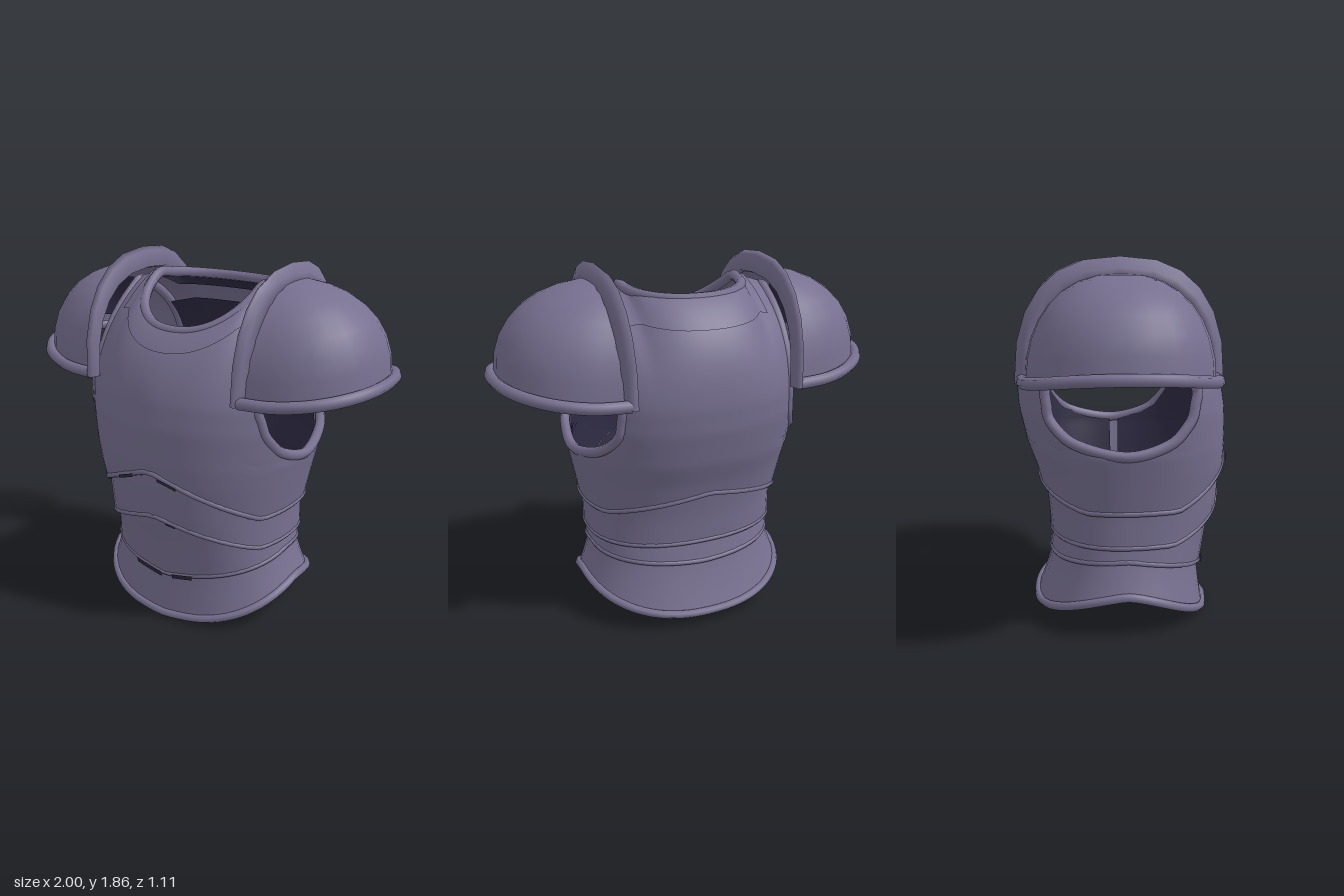
import * as THREE from 'three';

const V = (x, y, z) => new THREE.Vector3(x, y, z);
const { lerp, clamp, degToRad } = THREE.MathUtils;
const pow = (v, p) => Math.sign(v) * Math.abs(v) ** p;

// torso size by height: y, half width, front depth, back depth
const BODY = [
  [0.22, 0.48, 0.40, 0.37], [0.45, 0.495, 0.455, 0.36], [0.6, 0.515, 0.495, 0.385],
  [0.8, 0.555, 0.53, 0.44], [0.92, 0.58, 0.535, 0.485], [1.1, 0.6, 0.53, 0.525], [1.25, 0.6, 0.505, 0.535],
];
// armhole: y, front edge z, back edge z
const HOLE = [[0.925, 0, 0], [0.94, 0.12, 0.14], [1.0, 0.24, 0.31], [1.1, 0.31, 0.38], [1.25, 0.34, 0.40]];
const POWER = 2.3;

function table(rows, y) {
  let i = 0;
  while (i < rows.length - 2 && y > rows[i + 1][0]) i++;
  const a = rows[i], b = rows[i + 1], t = clamp((y - a[0]) / (b[0] - a[0]), 0, 1);
  return a.map((v, k) => lerp(v, b[k], t));
}

// point on the rounded cross-section; angle 0 = left side, 90 degrees = front
function section(angle, y, w, f, b) {
  const c = Math.cos(angle), s = Math.sin(angle), p = 2 / POWER;
  const ridge = s > 0 ? 0.008 * Math.max(0, 1 - Math.abs(c) / 0.15) : 0;
  return V(w * pow(c, p), y, (s > 0 ? f : b) * pow(s, p) + ridge);
}

function bodyPoint(angle, y, off = 0) {
  const [, w, f, b] = table(BODY, y);
  return section(angle, y, w + off, f + off, b + off);
}

// surface through a grid of points
function loft(rows, closed = false) {
  const n = rows[0].length, index = [];
  for (let r = 0; r < rows.length - 1; r++) {
    for (let c = 0; c < (closed ? n : n - 1); c++) {
      const a = r * n + c, b = r * n + (c + 1) % n;
      index.push(a, a + n, b, b, a + n, b + n);
    }
  }
  const g = new THREE.BufferGeometry().setFromPoints(rows.flat());
  g.setIndex(index);
  g.computeVertexNormals();
  return g;
}

const tube = (points, r, closed) => new THREE.TubeGeometry(
  new THREE.CatmullRomCurve3(points, closed, 'centripetal'), 72, r, 7, closed);

// plate edges: raised to a point at the centre of front and back
const edge = (side, front, back, reach) => (angle) => {
  const d = Math.acos(clamp(Math.abs(Math.sin(angle)), 0, 1)) * 180 / Math.PI;
  return side + ((Math.sin(angle) > 0 ? front : back) - side) * Math.max(0, 1 - d / reach);
};
const chestEdge = edge(0.63, 0.87, 0.74, 62);
const waistEdge = edge(0.45, 0.62, 0.45, 62);
const bellyEdge = edge(0.375, 0.25, 0.33, 90);
const hemEdge = (a) => 0.21 - (Math.sin(a) > 0 ? 0.187 : 0.14) * Math.abs(Math.sin(a)) ** 1.3;

// neckline (u up to 0.6) continuing into the shoulder line (u up to 1)
function topPoint(u, side) {
  const v = Math.abs(u), e = Math.min(v / 0.6, 1) * Math.PI / 2, k = Math.max(0, (v - 0.6) / 0.4);
  const x = 0.315 * Math.sin(e) ** 0.9 + 0.15 * k;
  const y = lerp(side > 0 ? 1.535 : 1.705, 1.74, 1 - Math.cos(e)) - 0.05 * k;
  return V(Math.sign(u) * x, y, side * (side > 0 ? 0.322 : 0.295) * Math.cos(e) ** 0.85 - 0.03 * k);
}

// breast or back panel: t 0..1 rises to the chest, 1..2 curves over to the neck
function panelPoint(u, t, side, off = 0) {
  const v = Math.abs(u);
  const chest = (q) => {
    const y = lerp(chestEdge(side * lerp(Math.PI / 2, 0.0001, v)), 1.22, q);
    const [, , f, b] = table(BODY, y);
    const [, hf, hb] = table(HOLE, y);
    const start = Math.asin((side > 0 ? hf / f : hb / b) ** (POWER / 2));
    const angle = lerp(Math.PI / 2, start, v);
    return bodyPoint(side * (u < 0 ? Math.PI - angle : angle), y, off);
  };
  if (t <= 1) return chest(t);
  const a = chest(1), c = topPoint(u, side), s = t - 1;
  c.y += off;
  const b = V(lerp(a.x, c.x, 0.05), lerp(a.y, c.y, side > 0 ? 0.64 : 0.7), lerp(a.z, c.z, side > 0 ? 0.25 : 0.06));
  return a.multiplyScalar((1 - s) ** 2).addScaledVector(b, 2 * s * (1 - s)).addScaledVector(c, s * s);
}

function panel(side, u1, t0, t1, off, nu = 32, nt = 40) {
  const rows = [];
  for (let j = 0; j <= nt; j++) {
    const row = [];
    for (let i = 0; i <= nu; i++) {
      row.push(panelPoint(side * lerp(-u1, u1, i / nu), lerp(t0, t1, j / nt), side, off));
    }
    rows.push(row);
  }
  return loft(rows);
}

export function createModel() {
  const model = new THREE.Group();
  const steel = new THREE.MeshStandardMaterial({ color: 0x777090, side: THREE.DoubleSide });
  steel.name = 'purple grey steel';
  const dark = new THREE.MeshStandardMaterial({ color: 0x2d2a42, side: THREE.DoubleSide });
  dark.name = 'dark lining';
  const add = (name, geometry, material = steel, parent = model) => {
    const mesh = new THREE.Mesh(geometry, material);
    mesh.name = name;
    parent.add(mesh);
  };
  const N = 40;
  const ring = (fn) => Array.from({ length: N }, (_, i) => fn(i / N * Math.PI * 2));

  // breastplate, backplate, raised collar and inner lining
  for (const side of [1, -1]) {
    const label = side > 0 ? 'front' : 'back';
    add(label + 'ChestPlate', panel(side, 1, 0, 2, 0.012));
    add(label + 'Collar', panel(side, 0.75, 1.62, 2, 0.022, 24, 6));
    add(label + 'Lining', panel(side, 0.98, 0, 1.58, -0.025), dark);
  }
  add('collarLining', panel(-1, 0.6, 1.8, 2, -0.02, 16, 4), dark);
  add('chestEdge', tube(ring((a) => bodyPoint(a, chestEdge(a), 0.004)), 0.016, true));

  // overlapping waist plates with rolled lower edges
  const plate = (name, bottom, top, flare) => {
    const rows = [];
    for (let j = 0; j <= 6; j++) {
      const t = j / 6;
      rows.push(ring((a) => bodyPoint(-a, lerp(bottom(-a), top(-a) + 0.05, t), lerp(flare, -0.012, t))));
    }
    add(name, loft(rows.reverse(), true));
    add(name + 'Edge', tube(ring((a) => bodyPoint(a, bottom(a), flare - 0.008)), 0.014, true));
  };
  plate('upperWaistPlate', waistEdge, chestEdge, 0.018);
  plate('lowerWaistPlate', bellyEdge, waistEdge, 0.014);
  const liningRows = [0, 0.5, 1].map((t) => ring((a) =>
    bodyPoint(a, lerp(bellyEdge(a) + 0.06, chestEdge(a), t), -0.028)));
  add('waistLining', loft(liningRows, true), dark);

  // slivers of lining showing under the front plate edges: edge, start and end degrees, height
  for (const [line, from, to, height] of [
    [chestEdge, 97, 107, 0.018], [chestEdge, 77, 86, 0.016], [waistEdge, 79, 84, 0.014],
    [bellyEdge, 91, 109, 0.03], [bellyEdge, 74, 86, 0.026]]) {
    const rows = [0.5, -0.5].map((h) => [0, 0.25, 0.5, 0.75, 1].map((t) => {
      const a = degToRad(lerp(to, from, t));
      return bodyPoint(a, line(a) - 0.008 + h * height, 0.026);
    }));
    add('liningSliver', loft(rows), dark);
  }

  // flared skirt with a thick hem
  const skirtPoint = (a, t) => {
    const k = t ** 1.3;
    return section(a, lerp(bellyEdge(a) + 0.05, hemEdge(a), t),
      lerp(0.485, 0.55, k), lerp(0.405, 0.44, k), lerp(0.355, 0.45, k));
  };
  const skirtRows = [0, 0.2, 0.4, 0.6, 0.8, 1].map((t) => ring((a) => skirtPoint(-a, t)));
  add('skirt', loft(skirtRows, true));
  add('skirtHem', tube(ring((a) => skirtPoint(a, 1)), 0.022, true));

  // neck rim
  const neck = [];
  for (let i = -6; i < 6; i++) neck.push(topPoint(i / 10, 1));
  for (let i = 6; i > -6; i--) neck.push(topPoint(i / 10, -1));
  add('neckRim', tube(neck, 0.027, true));

  for (const s of [1, -1]) {
    const label = s > 0 ? 'left' : 'right';
    // armhole rim
    const hole = [];
    for (let i = 0; i <= 15; i++) hole.push(panelPoint(s, lerp(0.5, 2, i / 15), 1));
    for (let i = 14; i > 0; i--) hole.push(panelPoint(s, lerp(0.5, 2, i / 15), -1));
    add(label + 'ArmholeRim', tube(hole, 0.027, true));

    // shoulder guard: quarter dome, lower rim and raised inner flange
    const guard = new THREE.Group();
    guard.name = label + 'ShoulderGuard';
    model.add(guard);
    const dome = (a, e, grow = 0) => {
      const out = pow(Math.cos(a), 0.9) * Math.cos(e);
      return V(s * (0.44 + (0.515 + grow) * out),
        1.28 + 0.06 * out * out + 0.5 * Math.sin(e) ** 0.95,
        -0.035 + (0.455 + grow) * pow(Math.sin(a), 0.9) * Math.cos(e) ** 0.85);
    };
    const domePatch = (spread, e0, e1, grow) => {
      const rows = [];
      for (let j = 0; j <= 8; j++) {
        const row = [];
        for (let i = 0; i <= 14; i++) row.push(dome(s * (0.5 - i / 14) * spread, lerp(e1, e0, j / 8), grow));
        rows.push(row);
      }
      return loft(rows);
    };
    add('dome', domePatch(3.1414, 0, 1.5707, 0), steel, guard);
    add('domeLining', domePatch(1.9, 0.12, 0.7, -0.02), dark, guard);
    const rim = [];
    for (let i = 0; i <= 12; i++) rim.push(dome((i / 12 - 0.5) * 3.1414, 0, 0.014));
    add('lowerRim', tube(rim, 0.03, false), steel, guard);

    // flange cross-section: x, height radius, depth radius
    const profile = [[0.49, 0.48, 0.44], [0.465, 0.52, 0.475], [0.45, 0.575, 0.505],
      [0.425, 0.555, 0.495], [0.41, 0.47, 0.45], [0.44, 0.46, 0.43]];
    const flange = [];
    for (let i = 0; i <= 12; i++) {
      const a = i / 12 * Math.PI, sn = Math.max(0, Math.sin(a));
      flange.push(profile.map(([x, ry, rz]) => V(
        s * (x - 0.012 * (1 - sn)), 1.265 + 0.02 * sn + ry * sn ** 0.82,
        -0.035 + rz * pow(Math.cos(a), 0.8))));
    }
    add('flange', loft(flange, true), steel, guard);
    for (const end of [flange[0], flange[12]]) {
      const centre = end.reduce((m, p) => m.addScaledVector(p, 1 / 6), V(0, 0, 0));
      add('flangeEnd', loft([end, end.map(() => centre)], true), steel, guard);
    }
  }
  return model;
}
